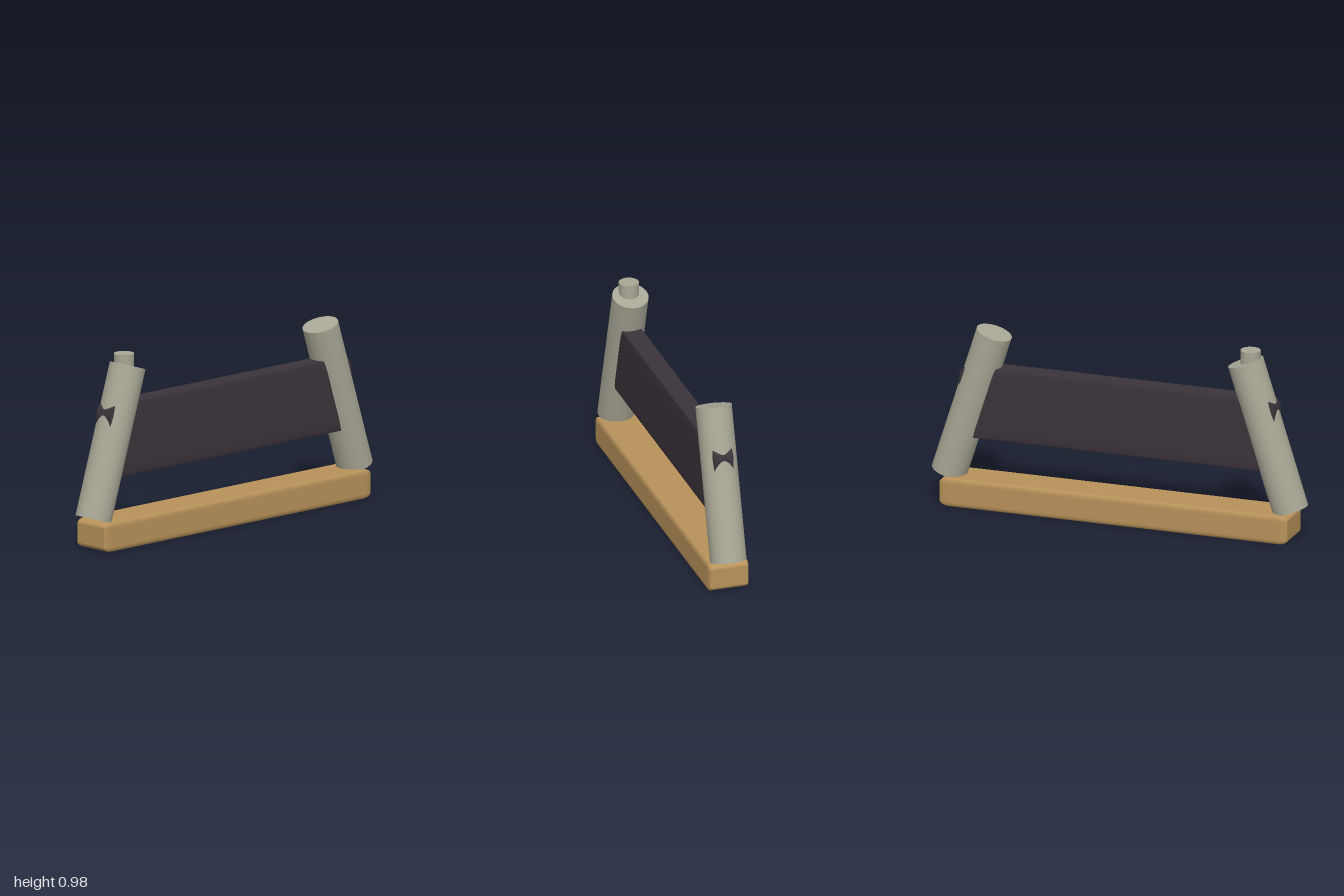
import * as THREE from 'three';
import { RoundedBoxGeometry } from 'three/addons/geometries/RoundedBoxGeometry.js';

const wood = new THREE.MeshStandardMaterial({ color: 0xb8925a });
wood.name = 'wood';
const stone = new THREE.MeshStandardMaterial({ color: 0xa9a796 });
stone.name = 'warmGrey';
const dark = new THREE.MeshStandardMaterial({ color: 0x3b333a });
dark.name = 'darkPlum';

// Box with a different edge rounding along each axis
function softBox(w, h, d, rx, ry, rz) {
  const kx = rx / ry, kz = rz / ry;
  return new RoundedBoxGeometry(w / kx, h, d / kz, 5, ry).scale(kx, 1, kz);
}

export function createModel() {
  const model = new THREE.Group();
  const add = (name, geometry, material, x, y) => {
    const mesh = new THREE.Mesh(geometry, material);
    mesh.name = name;
    mesh.position.set(x, y, 0);
    model.add(mesh);
    return mesh;
  };

  // Rounded wooden base bar
  add('base', softBox(1.86, 0.15, 0.216, 0.05, 0.027, 0.014), wood, 0, 0.075);

  // Dark panel whose ends just break through the posts
  add('panel', softBox(1.686, 0.375, 0.11, 0.05, 0.065, 0.006), dark, 0, 0.5475);

  // Two posts leaning inwards
  const top = new THREE.Vector2(0.672, 0.912);
  const foot = new THREE.Vector2(0.912, 0.157);
  const lean = Math.atan2(foot.x - top.x, top.y - foot.y);
  for (const side of [-1, 1]) {
    const post = add(side > 0 ? 'leftPost' : 'rightPost',
      new THREE.CylinderGeometry(0.092, 0.092, top.distanceTo(foot), 40), stone,
      side * (top.x + foot.x) / 2, (top.y + foot.y) / 2);
    post.rotation.z = side * lean;
  }

  // Upright peg on the right post
  add('peg', new THREE.CylinderGeometry(0.052, 0.052, 0.13, 12), stone, -0.698, 0.913);

  return model;
}
